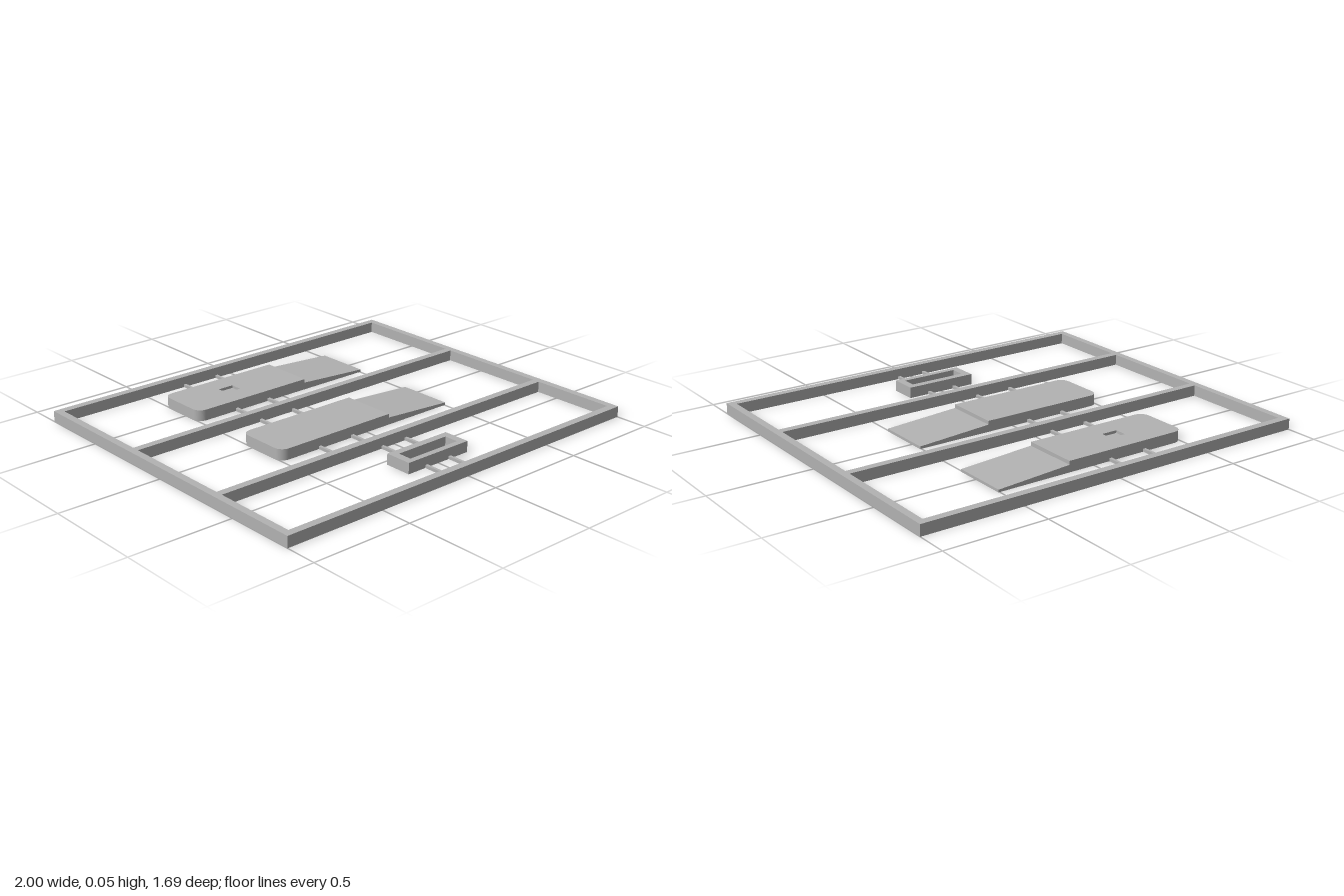
import * as THREE from 'three';

const H = 0.053; // common height of frame and thick parts
const grey = new THREE.MeshStandardMaterial({ color: 0xb2b2b2 });
grey.name = 'plain grey';

function add(parent, name, geometry) {
  const mesh = new THREE.Mesh(geometry, grey);
  mesh.name = name;
  parent.add(mesh);
  return mesh;
}

// Rectangle in plan view (x, z); shape y is -z
function rect(x0, x1, z0, z1, Type = THREE.Path) {
  return new Type([[x0, -z0], [x0, -z1], [x1, -z1], [x1, -z0]].map(p => new THREE.Vector2(...p)));
}

// Extrude a plan shape upwards from y0 to y1
function slab(shape, y0, y1) {
  const g = new THREE.ExtrudeGeometry(shape, { depth: y1 - y0, bevelEnabled: false, curveSegments: 8 });
  return g.rotateX(-Math.PI / 2).translate(0, y0, 0);
}

// Thick half: square at +x, rounded corners at -x
function bodyShape(x0, x1, w, r) {
  const s = new THREE.Shape();
  s.moveTo(x1, -w);
  s.lineTo(x1, w);
  s.lineTo(x0 + r, w);
  s.absarc(x0 + r, w - r, r, Math.PI / 2, Math.PI, false);
  s.lineTo(x0, -w + r);
  s.absarc(x0 + r, -w + r, r, Math.PI, Math.PI * 1.5, false);
  s.closePath();
  return s;
}

function makeBody(name, z, hasPocket) {
  const body = new THREE.Group();
  body.name = name;
  const w = 0.1375, step = 0.136, end = 0.505;
  if (hasPocket) {
    const floor = 0.04;
    add(body, 'thickBase', slab(bodyShape(-end, step, w, 0.045), 0, floor));
    const top = bodyShape(-end, step, w, 0.045);
    top.holes.push(rect(-0.26, -0.18, -0.03, 0.03));
    add(body, 'pocketedTop', slab(top, floor, H));
  } else {
    add(body, 'thickHalf', slab(bodyShape(-end, step, w, 0.045), 0, H));
  }
  // Sloping tongue
  const side = new THREE.Shape([[step, 0], [end, 0], [end, 0.012], [step, 0.035]].map(p => new THREE.Vector2(...p)));
  add(body, 'slopingTongue',
    new THREE.ExtrudeGeometry(side, { depth: 2 * w, bevelEnabled: false }).translate(0, 0, -w));
  body.position.z = z;
  return body;
}

export function createModel() {
  const model = new THREE.Group();
  model.name = 'partsSprue';

  // Frame with three openings
  const frame = rect(-1, 1, -0.845, 0.845, THREE.Shape);
  const cells = [[-0.808, -0.248], [-0.212, 0.35], [0.387, 0.808]];
  for (const [z0, z1] of cells) frame.holes.push(rect(-0.965, 0.965, z0, z1));
  add(model, 'frame', slab(frame, 0, H));

  // Two long pieces
  model.add(makeBody('pocketedPiece', -0.5305, true));
  model.add(makeBody('plainPiece', 0.068, false));

  // Small rectangular ring
  const ring = rect(-0.179, 0.179, 0.529, 0.663, THREE.Shape);
  ring.holes.push(rect(-0.142, 0.142, 0.564, 0.634));
  add(model, 'smallRing', slab(ring, 0, H));

  // Thin runners joining the pieces to the frame
  const long = [-0.283, -0.09], short = [-0.073, 0.07];
  const runners = [
    [long, -0.808, -0.668], [long, -0.393, -0.248],
    [long, -0.212, -0.07], [long, 0.2055, 0.35],
    [short, 0.387, 0.529], [short, 0.663, 0.808],
  ];
  for (const [xs, z0, z1] of runners) {
    for (const x of xs) {
      add(model, 'runner', new THREE.BoxGeometry(0.014, 0.014, z1 - z0))
        .position.set(x, 0.007, (z0 + z1) / 2);
    }
  }
  return model;
}
